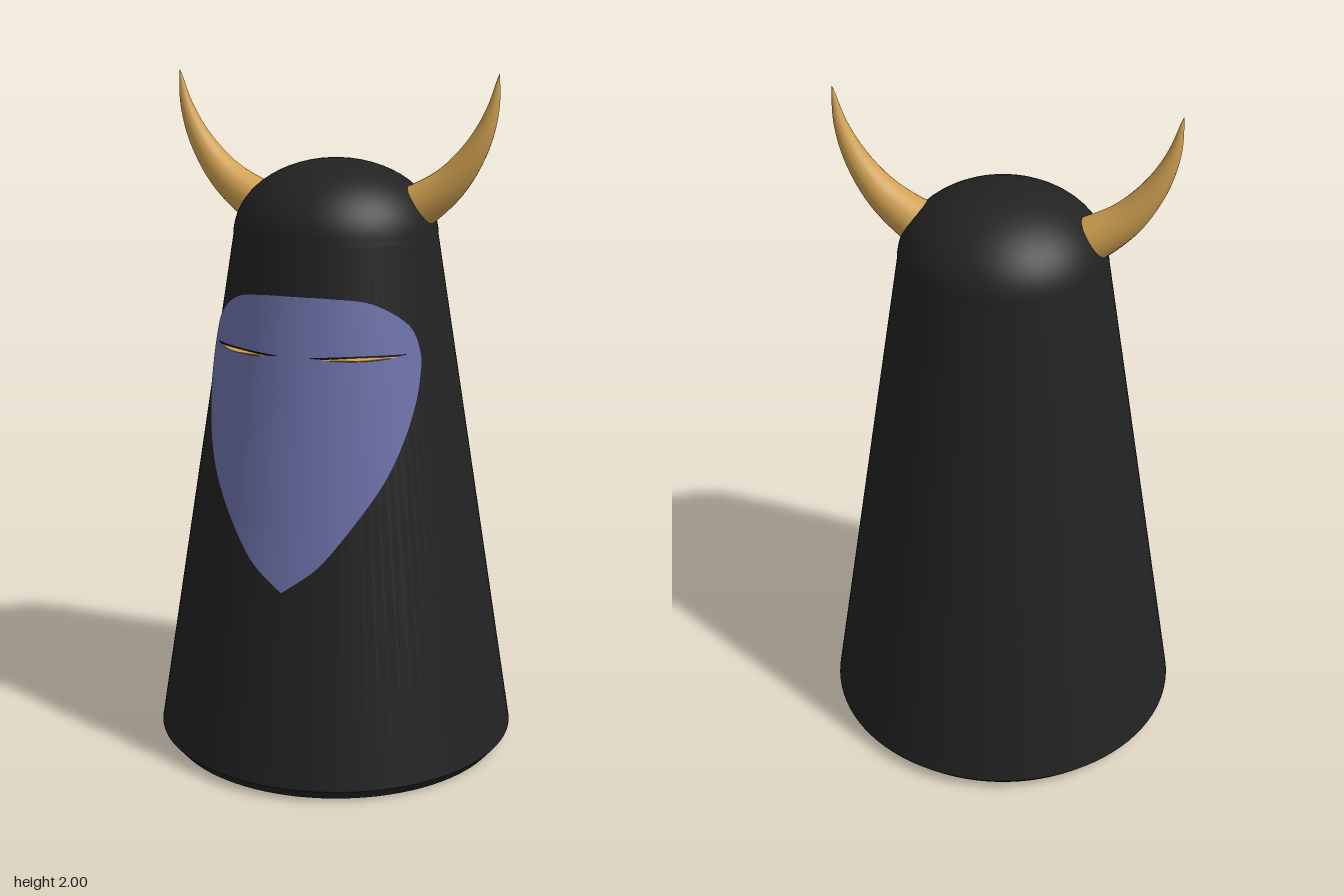
import * as THREE from 'three';
import { mergeVertices } from 'three/addons/utils/BufferGeometryUtils.js';

const mat = (name, color, side = THREE.FrontSide) => {
  const m = new THREE.MeshStandardMaterial({ color, side });
  m.name = name;
  return m;
};

// Radius of the conical cloak at height y
const coneRadius = (y) => 0.5456 - 0.1605 * y;

// Smooth-shaded geometry with shared vertices
function smooth(geo) {
  geo.deleteAttribute('uv');
  geo.deleteAttribute('normal');
  const g = mergeVertices(geo, 1e-5);
  g.computeVertexNormals();
  return g;
}

// Thin patch wrapped on the cloak; rule(u, v) gives [angle, y, offset], u in -1..1, v in 0..1
function conePatch(cols, rows, rule) {
  const geo = new THREE.PlaneGeometry(2, 1, cols, rows);
  const p = geo.attributes.position;
  for (let i = 0; i < p.count; i++) {
    const [a, y, off] = rule(p.getX(i), p.getY(i) + 0.5);
    const r = coneRadius(y) + off;
    p.setXYZ(i, r * Math.sin(a), y, r * Math.cos(a));
  }
  return smooth(geo);
}

// Mask: half-width outline running from the chin to the brow
const outline = new THREE.CatmullRomCurve3([
  [0, 0.588], [0.095, 0.66], [0.164, 0.746], [0.254, 0.89], [0.292, 0.995], [0.312, 1.1],
  [0.316, 1.17], [0.312, 1.24], [0.282, 1.323], [0.2, 1.388], [0.1, 1.405], [0.0, 1.408],
].map(([x, y]) => new THREE.Vector3(x, y, 0)));

function maskGeometry() {
  return conePatch(32, 72, (u, v) => {
    const { x, y } = outline.getPoint(v);
    const half = Math.asin(Math.min(Math.max(x, 0) / (coneRadius(y) + 0.006), 1));
    return [u * half, y, 0.006];
  });
}

// Lens-shaped strip for an eye, optionally bulging outward
function eyeGeometry(side, from, to, y, height, offset, bulge) {
  return conePatch(28, 6, (u, v) => {
    const arch = Math.cos(u * Math.PI / 2);
    const a = side * (from + to) / 2 + u * (to - from) / 2;
    return [a, y + (v - 0.5) * height * (0.2 + 0.8 * arch), offset + bulge * arch * arch * Math.sin(v * Math.PI)];
  });
}

// Horn: a tube tapered along an upswept curve
function hornGeometry(side) {
  const curve = new THREE.CatmullRomCurve3([
    [0.19, 1.6, 0], [0.255, 1.632, 0.003], [0.345, 1.7, 0.006],
    [0.42, 1.8, 0.009], [0.462, 1.9, 0.012], [0.48, 2.0, 0.015],
  ].map(([x, y, z]) => new THREE.Vector3(side * x, y, z)));
  const n = 32, sides = 24;
  const geo = new THREE.TubeGeometry(curve, n, 1, sides);
  const p = geo.attributes.position, v = new THREE.Vector3();
  for (let i = 0; i <= n; i++) {
    const t = i / n, c = curve.getPointAt(t);
    const r = 0.0005 + 0.072 * Math.pow(1 - t, 0.85);
    for (let j = 0; j <= sides; j++) {
      const k = i * (sides + 1) + j;
      v.fromBufferAttribute(p, k).sub(c).multiplyScalar(r).add(c);
      p.setXYZ(k, v.x, v.y, v.z);
    }
  }
  return smooth(geo);
}

export function createModel() {
  const black = mat('cloak black', 0x222222);
  const blue = mat('mask blue', 0x6c70a8, THREE.DoubleSide);
  const gold = mat('horn gold', 0xcfa050, THREE.DoubleSide);
  const dark = mat('eye slit black', 0x0c0c0c, THREE.DoubleSide);

  const group = new THREE.Group();
  group.name = 'hornedFigure';
  const add = (name, geo, material) => {
    const m = new THREE.Mesh(geo, material);
    m.name = name;
    group.add(m);
  };

  // Cloak with chamfered foot and domed head; doubled points keep edges sharp
  const profile = [[0, 0], [0.51, 0], [0.51, 0], [0.54, 0.035], [0.54, 0.035]];
  for (let i = 0; i <= 16; i++) {
    const a = (i / 16) * Math.PI / 2;
    profile.push([i === 16 ? 0 : 0.298 * Math.cos(a), 1.54 + 0.218 * Math.sin(a)]);
  }
  add('cloak', new THREE.LatheGeometry(profile.map(([x, y]) => new THREE.Vector2(x, y)), 96), black);

  add('mask', maskGeometry(), blue);

  for (const side of [1, -1]) {
    const label = side > 0 ? 'left' : 'right';
    add(label + 'EyeSlit', eyeGeometry(side, 0.14, 0.93, 1.243, 0.011, 0.008, 0), dark);
    add(label + 'Eye', eyeGeometry(side, 0.24, 0.84, 1.239, 0.011, 0.009, 0.014), gold);
    add(label + 'Horn', hornGeometry(side), gold);
  }
  return group;
}
